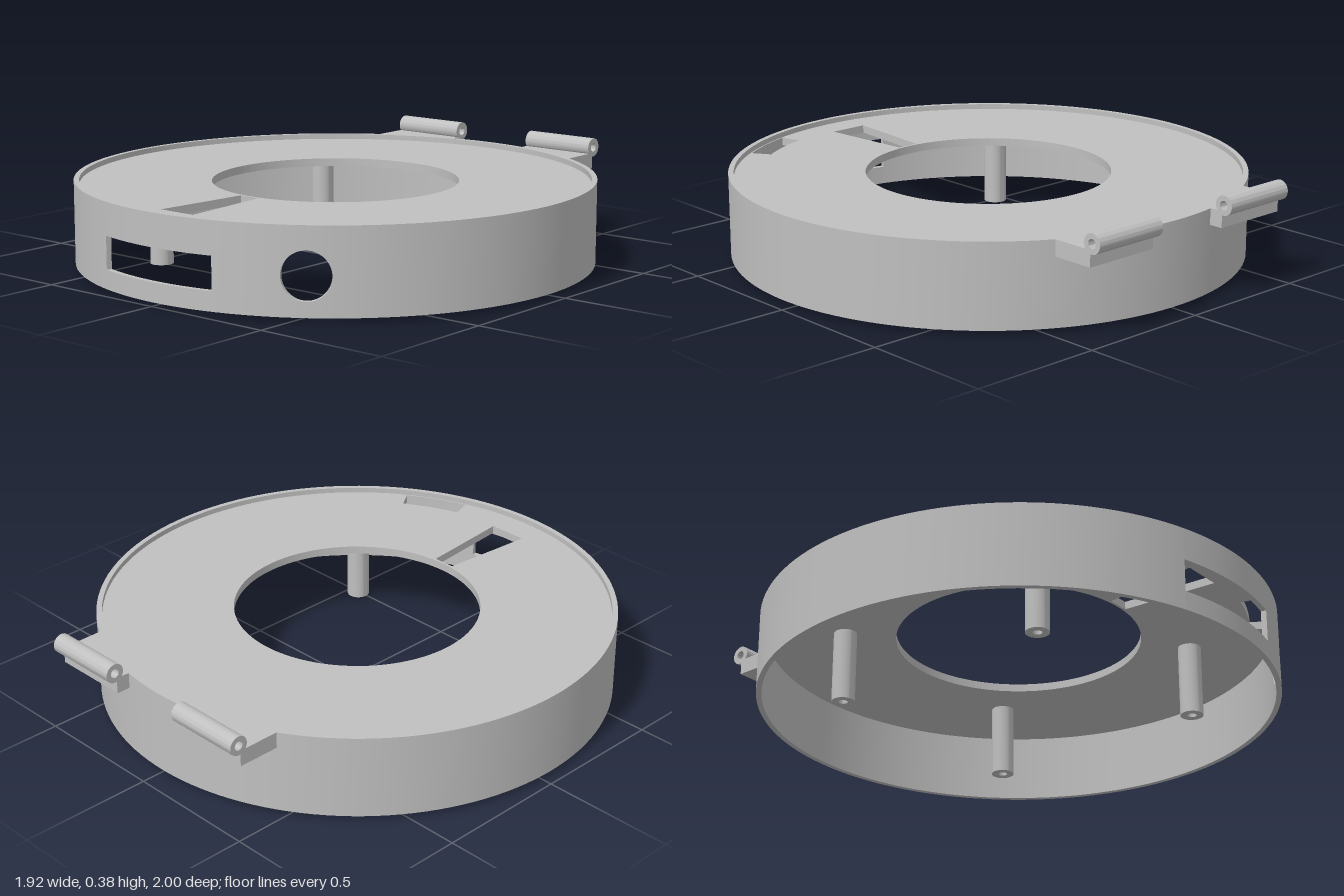
import * as THREE from 'three';
import { toCreasedNormals } from 'three/addons/utils/BufferGeometryUtils.js';

const CZ = 0.04;                    // centre of the ring along z
const R_OUT = 0.96, R_IN = 0.94;    // wall radii
const Y_LOW = 0.015, Y_TOP = 0.325; // wall heights
const PLATE_TOP = 0.305, PLATE_DEPTH = 0.03;

const grey = new THREE.MeshStandardMaterial({ color: 0xc0c0c0 });
grey.name = 'grey plastic';

function mesh(name, geometry) {
  const m = new THREE.Mesh(toCreasedNormals(geometry, 0.5), grey);
  m.name = name;
  return m;
}

// Curved wall piece lofted through sections [angle, low, high]; angle 0 is the front
function wallPiece(name, sections) {
  const pos = [];
  const corners = sections.map(([a, lo, hi]) =>
    [[R_IN, lo], [R_OUT, lo], [R_OUT, hi], [R_IN, hi]].map(([r, y]) => [r * Math.sin(a), y, r * Math.cos(a)]));
  const quad = (a, b, c, d) => pos.push(...a, ...b, ...c, ...a, ...c, ...d);
  for (let i = 0; i < corners.length - 1; i++) {
    const A = corners[i], B = corners[i + 1];
    for (let k = 0; k < 4; k++) {
      const n = (k + 1) % 4;
      quad(A[k], B[k], B[n], A[n]);
    }
  }
  const s = corners[0], e = corners[corners.length - 1];
  quad(s[0], s[1], s[2], s[3]);
  quad(e[0], e[3], e[2], e[1]);
  const g = new THREE.BufferGeometry();
  g.setAttribute('position', new THREE.Float32BufferAttribute(pos, 3));
  return mesh(name, g);
}

// Evenly spaced sections of constant height
function arc(a0, a1, lo, hi) {
  const n = Math.max(2, Math.ceil((a1 - a0) / 0.045));
  return Array.from({ length: n + 1 }, (_, i) => [a0 + (a1 - a0) * i / n, lo, hi]);
}

// Shape drawn in x/z, extruded downwards from y = top
function slab(name, shape, top, depth) {
  const g = new THREE.ExtrudeGeometry(shape, { depth, bevelEnabled: false, curveSegments: 64 });
  g.rotateX(Math.PI / 2).translate(0, top, 0);
  return mesh(name, g);
}

function circlePath(r, Type = THREE.Path) {
  const p = new Type();
  p.absarc(0, 0, r, 0, Math.PI * 2, false);
  return p;
}

export function createModel() {
  const model = new THREE.Group();
  model.name = 'ringHousing';
  const body = new THREE.Group();
  body.name = 'body';
  body.position.z = CZ;
  model.add(body);

  // Outer wall with a rectangular window and a round port
  const win = Math.asin(0.25 / R_OUT);
  const portA = 0.604, portY = 0.155, portR = 0.086;
  const portHalf = Math.asin(portR / R_OUT);
  const lower = [], upper = [];
  for (let i = 0; i <= 32; i++) {
    const t = Math.PI * (1 - i / 32);
    const a = portA + Math.asin(portR * Math.cos(t) / R_OUT);
    const h = portR * Math.sin(t);
    lower.push([a, Y_LOW, portY - h]);
    upper.push([a, portY + h, Y_TOP]);
  }
  body.add(
    wallPiece('mainWall', arc(portA + portHalf, Math.PI * 2 - win, Y_LOW, Y_TOP)),
    wallPiece('wallBelowWindow', arc(-win, win, Y_LOW, 0.085)),
    wallPiece('wallAboveWindow', arc(-win, win, 0.205, Y_TOP)),
    wallPiece('wallBetweenOpenings', arc(win, portA - portHalf, Y_LOW, Y_TOP)),
    wallPiece('wallBelowPort', lower),
    wallPiece('wallAbovePort', upper));

  // Recessed plate with centre hole, tapered slot and curved slot
  const plate = circlePath(0.945, THREE.Shape);
  const taper = new THREE.Path([[-0.045, 0.465], [0.04, 0.465], [0.073, 0.83], [-0.078, 0.83]]
    .map(([x, z]) => new THREE.Vector2(x, z)));
  taper.closePath();
  const slot = new THREE.Path();
  const s0 = THREE.MathUtils.degToRad(57.1), s1 = THREE.MathUtils.degToRad(72.5);
  slot.absarc(0, 0, 0.935, s0, s1, false);
  slot.absarc(0, 0, 0.857, s1, s0, true);
  slot.closePath();
  plate.holes.push(circlePath(0.456), taper, slot);
  body.add(slab('topPlate', plate, PLATE_TOP, PLATE_DEPTH));

  // Four hollow screw posts under the plate
  const profile = [[0, 0.22], [0.017, 0.22], [0.017, 0], [0.043, 0], [0.043, 0.285]]
    .map(([x, y]) => new THREE.Vector2(x, y));
  for (const x of [-1, 1]) for (const z of [-1, 1]) {
    const post = mesh('screwPost', new THREE.LatheGeometry(profile, 32));
    post.position.set(0.455 * x, 0, 0.455 * z);
    body.add(post);
  }

  // Two rear hinges: a bracket fitted to the wall and a hollow barrel
  for (const [side, x0, x1] of [['right', -0.47, -0.172], ['left', 0.172, 0.47]]) {
    const hinge = new THREE.Group();
    hinge.name = side + 'Hinge';
    const bracket = new THREE.Shape();
    const rb = 0.95;
    bracket.moveTo(x0, -0.957);
    bracket.lineTo(x1, -0.957);
    for (let i = 0; i <= 12; i++) {
      const x = x1 + (x0 - x1) * i / 12;
      bracket.lineTo(x, CZ - Math.sqrt(rb * rb - x * x));
    }
    bracket.closePath();
    hinge.add(slab('hingeBracket', bracket, Y_TOP, 0.06));

    const ring = circlePath(0.036, THREE.Shape);
    ring.holes.push(circlePath(0.017));
    const barrel = new THREE.ExtrudeGeometry(ring, { depth: x1 - x0, bevelEnabled: false, curveSegments: 32 });
    barrel.rotateY(Math.PI / 2).translate(x0, 0.347, -0.964);
    hinge.add(mesh('hingeBarrel', barrel));
    model.add(hinge);
  }
  return model;
}
